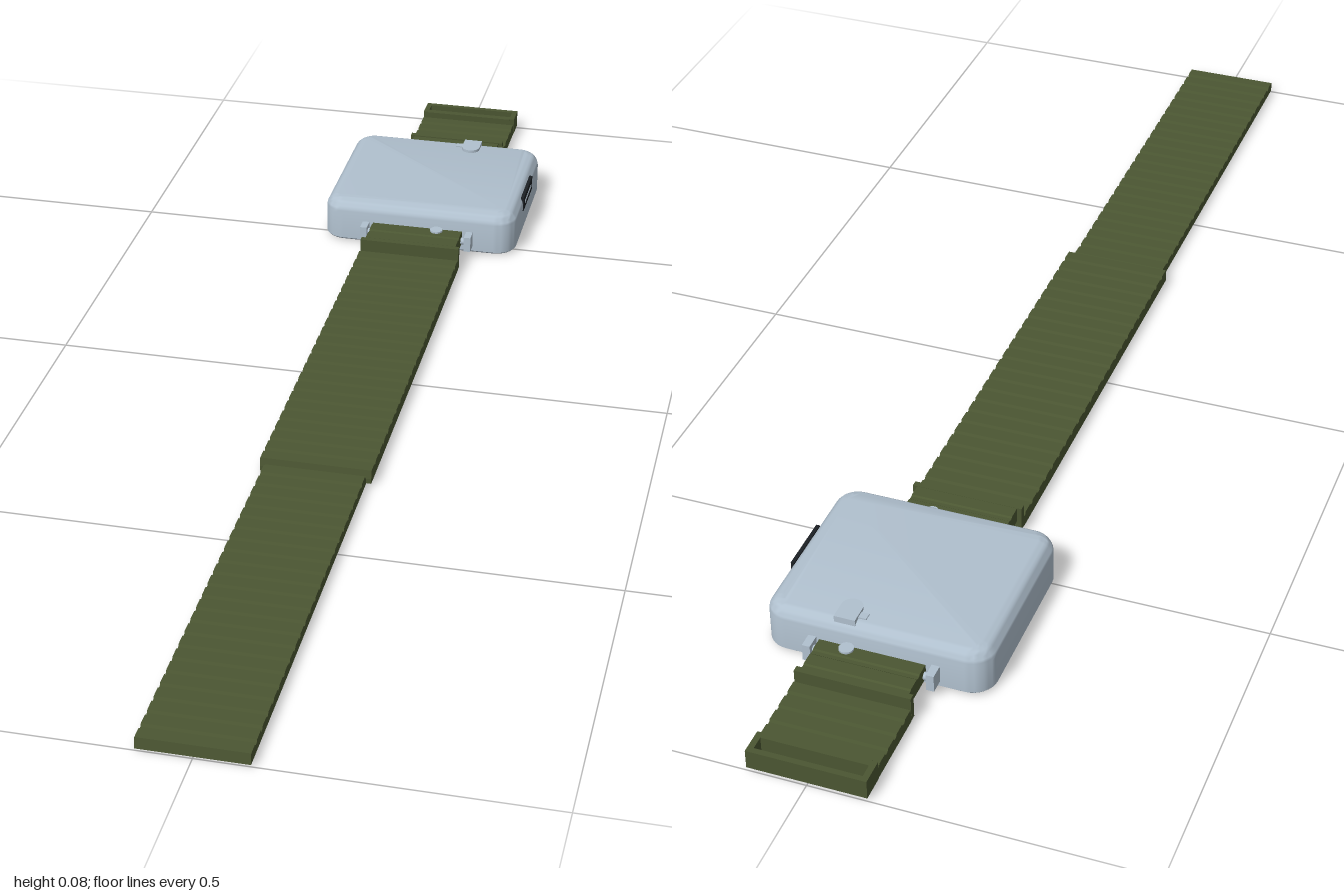
import * as THREE from 'three';
import { toCreasedNormals } from 'three/addons/utils/BufferGeometryUtils.js';

const mat = (name, color) => {
  const m = new THREE.MeshStandardMaterial({ color });
  m.name = name;
  return m;
};

export function createModel() {
  const model = new THREE.Group();
  model.name = 'wristDevice';
  const shell = mat('pale steel blue', 0xb0c0ce);
  const olive = mat('olive strap', 0x4b5632);
  const copper = mat('copper', 0xc0682a);
  const gold = mat('gold contact', 0xcf9a3c);
  const dark = mat('dark port', 0x1c2024);

  const add = (name, geo, material, parent = model) => {
    const mesh = new THREE.Mesh(geo, material);
    mesh.name = name;
    parent.add(mesh);
    return mesh;
  };
  const group = (name) => {
    const g = new THREE.Group();
    g.name = name;
    model.add(g);
    return g;
  };
  // Box given by its limits on each axis
  const box = (name, x0, x1, y0, y1, z0, z1, material, parent) => {
    const geo = new THREE.BoxGeometry(x1 - x0, y1 - y0, z1 - z0);
    geo.translate((x0 + x1) / 2, (y0 + y1) / 2, (z0 + z1) / 2);
    return add(name, geo, material, parent);
  };
  const disc = (name, x, y0, y1, z, r, material, parent) => {
    const geo = new THREE.CylinderGeometry(r, r, y1 - y0, 24);
    geo.translate(x, (y0 + y1) / 2, z);
    return add(name, geo, material, parent);
  };
  // Strap length whose top has cross grooves; side profile drawn in (z, y)
  const ribbed = (name, half, y0, y1, z0, z1, parent, depth = 0.004) => {
    const count = Math.max(1, Math.round((z1 - z0) / 0.03));
    const p = (z1 - z0) / count;
    const s = new THREE.Shape();
    s.moveTo(z0, y0);
    s.lineTo(z1, y0);
    for (let i = count - 1; i >= 0; i--) {
      const a = z0 + i * p;
      s.lineTo(a + p * 0.92, y1);
      s.lineTo(a + p * 0.28, y1);
      s.lineTo(a + p * 0.2, y1 - depth);
      s.lineTo(a, y1 - depth);
    }
    const geo = new THREE.ExtrudeGeometry(s, { depth: half * 2, bevelEnabled: false });
    geo.rotateY(-Math.PI / 2);
    geo.translate(half, 0, 0);
    return add(name, geo, olive, parent);
  };

  // Case: stacked rounded rectangles, with a filleted top edge
  const cz = -0.616, hx = 0.171, hz = 0.149, n = 8;
  const levels = [[0.003, 0.003], [0.006, 0]];
  for (let i = 0; i <= 8; i++) {
    const a = (i / 8) * Math.PI / 2;
    levels.push([0.054 + 0.022 * Math.sin(a), 0.022 * (1 - Math.cos(a))]);
  }
  const pos = [], idx = [], ring = 4 * (n + 1);
  for (const [y, inset] of levels) {
    const r = 0.036 - inset;
    for (let c = 0; c < 4; c++) {
      const sx = c === 0 || c === 3 ? 1 : -1, sz = c < 2 ? 1 : -1;
      for (let k = 0; k <= n; k++) {
        const a = (c + k / n) * Math.PI / 2;
        pos.push(sx * (hx - 0.036) + r * Math.cos(a), y, cz + sz * (hz - 0.036) + r * Math.sin(a));
      }
    }
  }
  const last = levels.length - 1;
  for (let l = 0; l < last; l++) {
    for (let k = 0; k < ring; k++) {
      const a = l * ring + k, b = l * ring + (k + 1) % ring;
      idx.push(a, a + ring, b, b, a + ring, b + ring);
    }
  }
  for (let k = 1; k < ring - 1; k++) {
    idx.push(0, k, k + 1);
    idx.push(last * ring, last * ring + k + 1, last * ring + k);
  }
  const caseGeo = new THREE.BufferGeometry();
  caseGeo.setAttribute('position', new THREE.Float32BufferAttribute(pos, 3));
  caseGeo.setIndex(idx);
  add('case', toCreasedNormals(caseGeo, 0.6), shell);

  // Button on the top face near the rear edge
  disc('buttonEnd', 0.046, 0.07, 0.081, -0.729, 0.016, shell);
  box('buttonBody', 0.03, 0.062, 0.07, 0.081, -0.757, -0.729, shell);
  box('buttonTab', 0.018, 0.03, 0.07, 0.078, -0.745, -0.733, shell);

  // Charging port in the left side
  const port = group('port');
  box('portOpening', 0.167, 0.1725, 0.043, 0.069, -0.658, -0.567, dark, port);
  box('portTongue', 0.17, 0.1732, 0.053, 0.058, -0.645, -0.58, shell, port);

  // Contacts beneath the case
  const contacts = group('contacts');
  for (const z of [-0.053, 0.053])
    for (const x of [-0.057, 0, 0.057])
      disc('contact', x, 0, 0.004, cz + z, x ? 0.016 : 0.011, gold, contacts);

  // Lugs and strap pins at both ends of the case
  const lugs = group('lugs');
  for (const end of [-1, 1]) {
    const zi = cz + end * 0.14, zo = cz + end * 0.172;
    for (const s of [-1, 1])
      box('lug', s * 0.093 - 0.006, s * 0.093 + 0.006, 0.015, 0.042,
        Math.min(zi, zo), Math.max(zi, zo), shell, lugs);
    const pin = new THREE.CylinderGeometry(0.006, 0.006, 0.18, 16);
    pin.rotateZ(Math.PI / 2);
    pin.translate(0, 0.029, cz + end * 0.16);
    add('strapPin', pin, shell, lugs);
    disc('pinCatch', 0.036, 0.03, 0.047, cz + end * 0.161, 0.011, shell, lugs);
  }

  // Long strap: raised end, wide channel section, narrow tail
  const long = group('longStrap');
  ribbed('raisedEnd', 0.08, 0.02, 0.044, -0.466, -0.402, long, 0.002);
  box('raisedStep', -0.087, 0.087, 0.005, 0.044, -0.404, -0.394, olive, long);
  ribbed('wideSection', 0.087, 0.012, 0.026, -0.394, 0.31, long);
  for (const s of [-1, 1]) {
    box('channelRail', s * 0.07 - 0.017, s * 0.07 + 0.017, 0.004, 0.012, -0.394, 0.31, olive, long);
    for (let i = 0; i < 8; i++)
      disc('rivet', s * 0.07, 0.003, 0.005, -0.35 + i * 0.088, 0.005, olive, long);
  }
  box('channelEnd', -0.055, 0.055, 0.004, 0.012, 0.272, 0.31, olive, long);
  ribbed('tail', 0.079, 0.003, 0.02, 0.31, 1, long);

  // Copper segments in the channel
  const strip = group('copperStrip');
  for (let i = 0; i < 8; i++) {
    const z = -0.385 + i * 0.082;
    box('copperSegment', -0.046, 0.046, 0.007, 0.012, z, z + 0.078, copper, strip);
  }
  box('frontConnector', -0.046, 0.046, 0.004, 0.007, -0.472, -0.385, copper, strip);
  box('rearConnector', -0.046, 0.046, 0.004, 0.007, -0.865, -0.76, copper, strip);
  for (let i = 0; i < 2; i++)
    box('rearSegment', -0.046, 0.046, 0.007, 0.012, -0.945 + i * 0.042, -0.907 + i * 0.042, copper, strip);

  // Short strap with its slotted buckle
  const short = group('shortStrap');
  ribbed('raisedEnd', 0.08, 0.02, 0.044, -0.832, -0.768, short, 0.002);
  box('raisedStep', -0.087, 0.087, 0.005, 0.044, -0.842, -0.832, olive, short);
  ribbed('wideSection', 0.087, 0.012, 0.026, -0.962, -0.842, short);
  for (const s of [-1, 1]) {
    box('channelRail', s * 0.07 - 0.017, s * 0.07 + 0.017, 0.004, 0.012, -0.962, -0.842, olive, short);
    box('buckleSide', s * 0.0835 - 0.0045, s * 0.0835 + 0.0045, 0.005, 0.035, -1, -0.96, olive, short);
  }
  box('buckleInnerBar', -0.08, 0.08, 0.005, 0.035, -0.97, -0.958, olive, short);
  box('buckleOuterBar', -0.08, 0.08, 0.005, 0.035, -1, -0.991, olive, short);

  return model;
}
